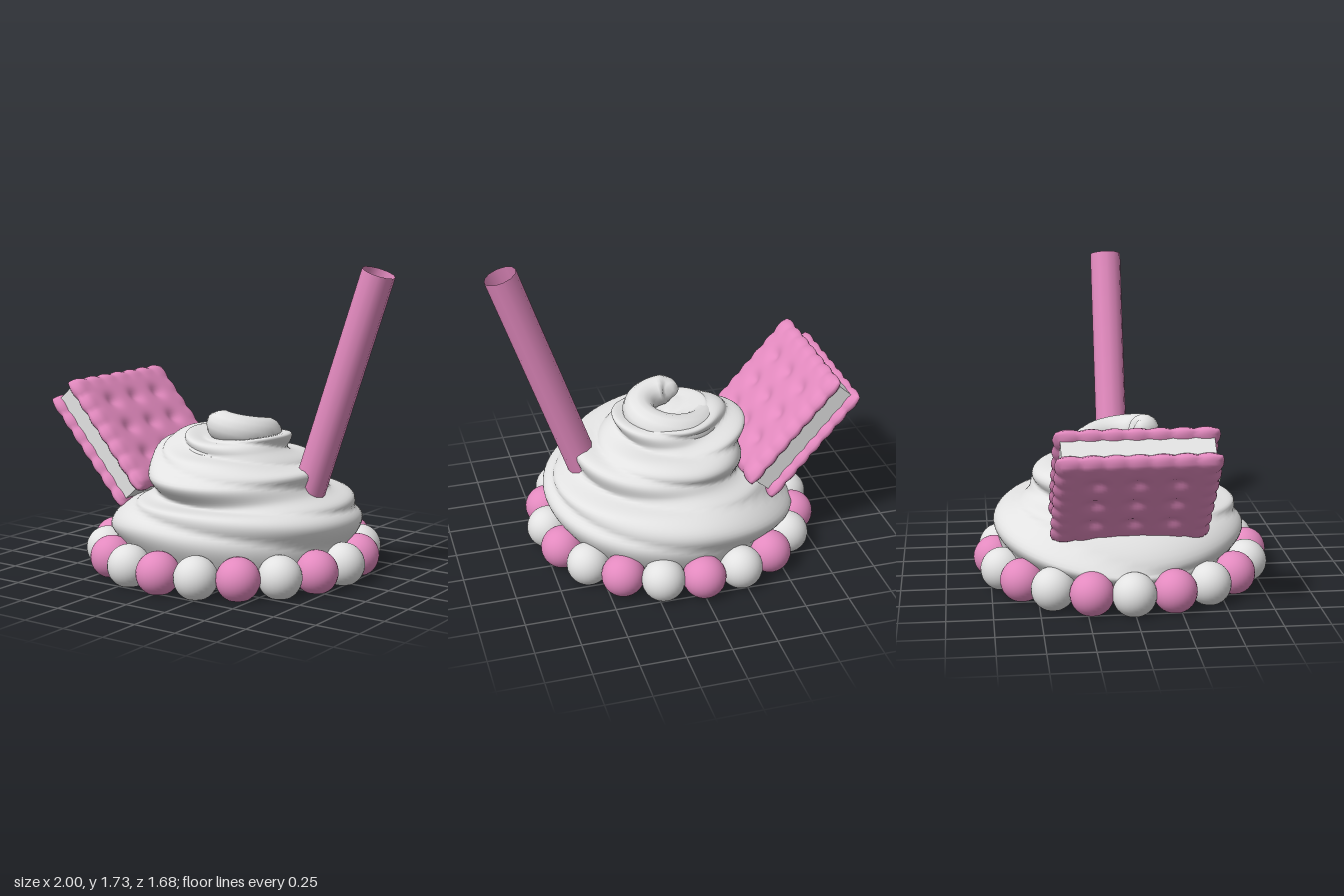
import * as THREE from 'three';
import { mergeVertices } from 'three/addons/utils/BufferGeometryUtils.js';

// Double sided, since the cream, beads and straw are open shells
function flat(name, color) {
  const m = new THREE.MeshStandardMaterial({ color, side: THREE.DoubleSide });
  m.name = name;
  return m;
}
const pink = flat('pink', 0xe38abf);
const cream = flat('cream', 0xe2e2e2);

function add(parent, name, geometry, material) {
  const mesh = new THREE.Mesh(geometry, material);
  mesh.name = name;
  parent.add(mesh);
  return mesh;
}

// Profiles (radius, height) of the whipped body at front, left, back and right
const PROFILES = [
  [[.63, .13], [.68, .3], [.64, .41], [.52, .44], [.56, .55], [.45, .65], [.33, .69], [.29, .74], [.2, .75], [0, .73]],
  [[.66, .13], [.71, .3], [.68, .4], [.56, .47], [.54, .59], [.42, .63], [.32, .69], [.31, .77], [.2, .76], [0, .73]],
  [[.66, .13], [.73, .31], [.64, .43], [.51, .49], [.51, .58], [.42, .65], [.30, .68], [.30, .76], [.2, .77], [0, .73]],
  [[.67, .13], [.71, .20], [.53, .40], [.41, .45], [.39, .56], [.43, .70], [.34, .75], [.26, .79], [.18, .78], [0, .73]],
].map(p => new THREE.CatmullRomCurve3(p.map(([r, y]) => new THREE.Vector3(r, y, 0)), false, 'centripetal'));

// Whipped body: blended profiles with spiral ridges running down around it
function creamBody() {
  const around = 96, up = 72, pos = [], index = [];
  for (let i = 0; i <= up; i++) {
    const v = i / up;
    const rings = PROFILES.map(c => c.getPoint(v));
    for (let j = 0; j < around; j++) {
      const turn = j / around, a = turn * Math.PI * 2;
      const q = turn * 4, k = Math.floor(q), f = q - k;
      const p = rings[k].clone().lerp(rings[(k + 1) % 4], f * f * (3 - 2 * f));
      const ridge = Math.abs(Math.sin(Math.PI * (6 * v + 3 * turn))) - 0.64;
      const r = Math.max(0, p.x + 0.034 * ridge * Math.min(1, p.x * 3));
      pos.push(r * Math.sin(a), p.y + 0.01 * ridge, r * Math.cos(a));
      if (i < up) {
        const n = (j + 1) % around, b = i * around, t = b + around;
        index.push(b + j, b + n, t + n, b + j, t + n, t + j);
      }
    }
  }
  const g = new THREE.BufferGeometry();
  g.setAttribute('position', new THREE.Float32BufferAttribute(pos, 3));
  g.setIndex(index);
  g.computeVertexNormals();
  return g;
}

// Top curl: a tapered tube winding outward and down from the tip
function creamCurl() {
  const n = 80, sides = 14, pts = [];
  for (let i = 0; i <= 30; i++) {
    const t = i / 30, a = -0.7 + t * 1.4 * Math.PI * 2, r = 0.085 + 0.16 * Math.sqrt(t);
    pts.push(new THREE.Vector3(r * Math.sin(a), 0.845 - 0.27 * t, r * Math.cos(a)));
  }
  const curve = new THREE.CatmullRomCurve3(pts);
  const g = new THREE.TubeGeometry(curve, n, 1, sides);
  const pos = g.attributes.position, v = new THREE.Vector3();
  for (let i = 0; i <= n; i++) {
    const t = i / n, c = curve.getPointAt(t);
    const taper = Math.sqrt(Math.min(1, t * 20)) * Math.sqrt(Math.min(1, (1 - t) * 6));
    for (let j = 0; j <= sides; j++) {
      const k = i * (sides + 1) + j;
      v.fromBufferAttribute(pos, k).sub(c).multiplyScalar((0.085 + 0.03 * t) * taper).add(c);
      pos.setXYZ(k, v.x, v.y, v.z);
    }
  }
  g.deleteAttribute('uv');
  g.deleteAttribute('normal');
  const smooth = mergeVertices(g, 1e-5);
  smooth.computeVertexNormals();
  return smooth;
}

// Biscuit: rounded plate with scalloped rim and a grid of dimples
function biscuitGeometry(length, thick, width) {
  const raw = new THREE.BoxGeometry(length, thick, width, 50, 4, 50);
  raw.deleteAttribute('uv');
  raw.deleteAttribute('normal');
  const g = mergeVertices(raw);
  const p = g.attributes.position;
  const lobe = s => Math.abs(Math.cos(3.5 * Math.PI * s));
  for (let i = 0; i < p.count; i++) {
    const u = p.getX(i) * 2 / length, v = p.getZ(i) * 2 / width, h = p.getY(i) * 2 / thick;
    const m = Math.max(Math.abs(u), Math.abs(v));
    const edge = Math.max(0, (m - 0.88) / 0.12);
    const along = Math.abs(u) > Math.abs(v) ? v : u;
    let y = h * Math.sqrt(1 - 0.7 * edge * edge);
    y *= 1 - 0.18 * (1 - lobe(along)) * THREE.MathUtils.smoothstep(m, 0.75, 0.95);
    for (const a of [-0.5, 0, 0.5]) for (const b of [-0.5, 0, 0.5]) {
      y -= h * 0.6 * Math.exp(-((u - a) ** 2 + (v - b) ** 2) / 0.014);
    }
    const bulge = 0.035 * edge * (1 - h * h);
    p.setXYZ(i,
      u * length / 2 * (0.965 - 0.025 * edge * (1 - lobe(v)) + bulge),
      y * thick / 2,
      v * width / 2 * (0.965 - 0.025 * edge * (1 - lobe(u)) + bulge));
  }
  g.computeVertexNormals();
  return g;
}

export function createModel() {
  const model = new THREE.Group();
  model.name = 'dessertTopping';

  // Whipped cream
  const swirl = new THREE.Group();
  swirl.name = 'whippedCream';
  model.add(swirl);
  add(swirl, 'creamBody', creamBody(), cream);
  add(swirl, 'creamCurl', creamCurl(), cream);

  // Ring of alternating balls, cut open where they meet the ground
  const beads = new THREE.Group();
  beads.name = 'beadRing';
  model.add(beads);
  const R = 0.12, cy = 0.103;
  const beadGeometry = new THREE.SphereGeometry(R, 28, 20, 0, Math.PI * 2, 0, Math.acos(-cy / R));
  for (let i = 0; i < 20; i++) {
    const a = i / 20 * Math.PI * 2;
    const bead = add(beads, i % 2 ? 'whiteBead' : 'pinkBead', beadGeometry, i % 2 ? cream : pink);
    bead.position.set(0.72 * Math.sin(a) - 0.007, cy, 0.72 * Math.cos(a) - 0.003);
  }

  // Sandwich biscuit leaning out to the right
  const sandwich = new THREE.Group();
  sandwich.name = 'sandwichBiscuit';
  sandwich.position.set(-0.677, 0.69, -0.005);
  sandwich.rotation.z = -0.85;
  model.add(sandwich);
  const biscuit = biscuitGeometry(0.775, 0.088, 0.865);
  for (const s of [-1, 1]) {
    add(sandwich, s < 0 ? 'lowerBiscuit' : 'upperBiscuit', biscuit, pink).position.y = s * 0.081;
  }
  add(sandwich, 'filling', new THREE.BoxGeometry(0.71, 0.11, 0.79), cream);

  // Hollow straw leaning out to the left, reaching down inside the cream
  const tilt = 0.33, length = 1.75;
  const straw = add(model, 'straw', new THREE.CylinderGeometry(0.091, 0.091, length, 12, 1, true), pink);
  straw.rotation.z = -tilt;
  straw.position.set(0.91 - Math.sin(tilt) * length / 2, 1.70 - Math.cos(tilt) * length / 2, 0);

  return model;
}
